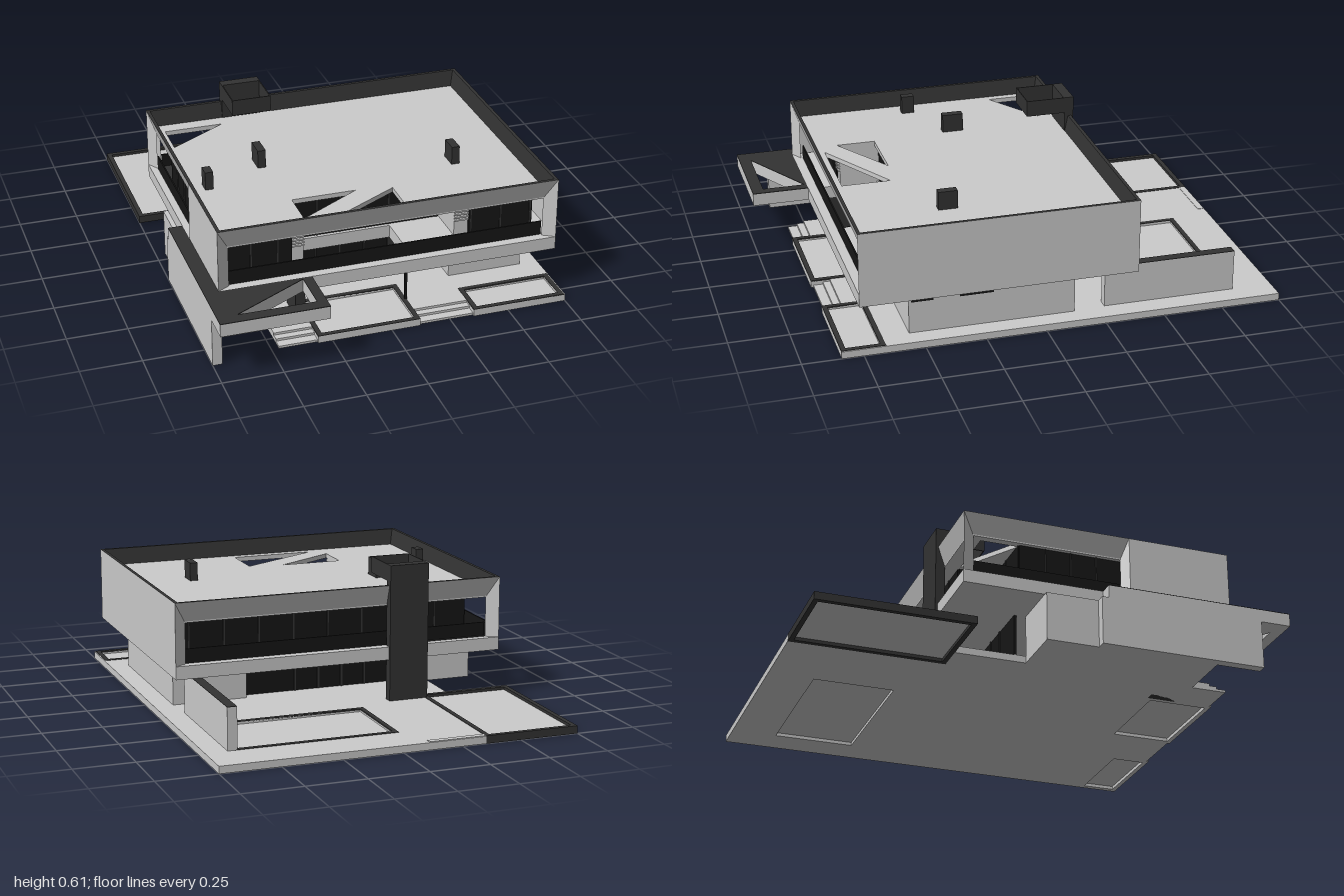
import * as THREE from 'three';

const mat = (color) => new THREE.MeshStandardMaterial({ color, side: THREE.DoubleSide });

export function createModel() {
  const house = new THREE.Group();
  house.name = 'house';
  const grey = mat(0xcccccc), dark = mat(0x333333), black = mat(0x161616);

  const add = (name, geometry, material) => {
    const mesh = new THREE.Mesh(geometry, material);
    mesh.name = name;
    house.add(mesh);
    return mesh;
  };
  // Box given by its limits on each axis
  const box = (name, x0, x1, y0, y1, z0, z1, material = grey) => {
    const g = new THREE.BoxGeometry(x1 - x0, y1 - y0, z1 - z0);
    g.translate((x0 + x1) / 2, (y0 + y1) / 2, (z0 + z1) / 2);
    return add(name, g, material);
  };
  const rect = (x0, x1, z0, z1) => [[x0, z0], [x1, z0], [x1, z1], [x0, z1]];
  // Horizontal plate from a plan outline [x, z] with holes
  const plate = (name, outline, holes, y0, y1, material = grey) => {
    const toV = (pts) => pts.map(([x, z]) => new THREE.Vector2(x, -z));
    const shape = new THREE.Shape(toV(outline));
    holes.forEach((h) => shape.holes.push(new THREE.Path(toV(h))));
    const g = new THREE.ExtrudeGeometry(shape, { depth: y1 - y0, bevelEnabled: false });
    g.rotateX(-Math.PI / 2);
    g.translate(0, y0, 0);
    return add(name, g, material);
  };
  // Flat panel through four corners
  const quad = (name, a, b, c, d, material = grey) => {
    const g = new THREE.BufferGeometry();
    g.setAttribute('position', new THREE.Float32BufferAttribute([a, b, c, a, c, d].flat(), 3));
    g.computeVertexNormals();
    return add(name, g, material);
  };

  // Ground slab with recessed beds and entrance steps
  const beds = [
    { name: 'terraceBed', r: [-0.05, 0.63, -0.83, -0.45] },
    { name: 'frontBed', r: [-0.31, 0.12, 0.55, 0.84] },
    { name: 'cornerBed', r: [0.35, 0.745, 0.66, 0.84] },
    { name: 'pool', r: [-0.75, -0.35, -1, -0.35] },
  ];
  plate('groundSlab', [[-0.35, -1], [0.75, -1], [0.75, 0.84], [0.35, 0.84], [0.35, 0.76], [0.12, 0.76],
    [0.12, 0.84], [-0.31, 0.84], [-0.31, 0.76], [-0.47, 0.76], [-0.47, -0.35], [-0.35, -0.35]],
  [rect(-0.03, 0.61, -0.81, -0.47), rect(-0.29, 0.10, 0.57, 0.82), rect(0.37, 0.725, 0.68, 0.82)], 0, 0.03);
  for (const { name, r: [x0, x1, z0, z1] } of beds) {
    const t = 0.02;
    plate(name + 'Rim', rect(x0, x1, z0, z1), [rect(x0 + t, x1 - t, z0 + t, z1 - t)],
      name === 'pool' ? 0 : 0.026, 0.032, dark);
    box(name + 'Floor', x0 + t, x1 - t, 0.014, 0.02, z0 + t, z1 - t);
  }
  for (const [x0, x1] of [[-0.47, -0.31], [0.12, 0.35]]) {
    box('upperStep', x0, x1, 0, 0.02, 0.76, 0.79);
    box('lowerStep', x0, x1, 0, 0.01, 0.79, 0.83);
  }
  box('backStep', -0.35, -0.11, 0.03, 0.032, -0.995, -0.97);

  // Free-standing walls
  box('terraceWall', 0.62, 0.66, 0.03, 0.203, -0.83, -0.27);
  box('terraceWallCap', 0.62, 0.66, 0.203, 0.205, -0.83, -0.27, dark);
  box('canopyWall', -0.75, -0.71, 0, 0.205, 0.17, 0.87);

  // Ground floor
  box('leftBlock', -0.71, -0.47, 0, 0.205, -0.05, 0.68);
  box('rightBlock', 0.35, 0.67, 0.03, 0.205, -0.14, 0.55);
  box('leftHighWindow', -0.705, -0.48, 0.167, 0.203, 0.675, 0.684, black);
  box('rightHighWindow', 0.385, 0.66, 0.167, 0.203, 0.545, 0.554, black);
  for (const [z0, z1] of [[0.45, 0.54], [0.2, 0.34]]) {
    box('sideHighWindow', 0.665, 0.674, 0.167, 0.203, z0, z1, black);
  }
  box('entranceWall', -0.47, -0.3, 0.03, 0.205, 0.42, 0.45, dark);
  box('sideEntranceWall', 0.12, 0.35, 0.03, 0.205, 0.42, 0.45, dark);
  box('loungeGlass', -0.3, 0.12, 0.03, 0.205, 0.435, 0.445, black);
  box('backGlass', -0.47, 0.35, 0.03, 0.205, -0.1, -0.09, black);
  for (const x of [-0.38, 0.27]) {
    box('doorHandle', x - 0.004, x + 0.004, 0.06, 0.15, 0.45, 0.46, black);
    box('doorTransom', x - 0.03, x + 0.04, 0.167, 0.203, 0.45, 0.455, black);
  }
  for (const x of [-0.3, -0.195, -0.09, 0.015, 0.12]) {
    box('loungeMullion', x - 0.004, x + 0.004, 0.03, 0.205, 0.44, 0.45, dark);
    box('backMullion', x - 0.004, x + 0.004, 0.03, 0.205, -0.105, -0.1, dark);
  }
  box('entrancePillar', -0.35, -0.31, 0, 0.205, 0.55, 0.67, dark);
  box('steelPost', 0.112, 0.122, 0.03, 0.26, 0.665, 0.675, black);

  // Upper floor plate and front canopy
  const X0 = -0.69, X1 = 0.73, Z0 = -0.39, Z1 = 0.76;
  plate('upperFloor', rect(X0, X1, Z0, Z1), [rect(-0.3, 0.12, 0.46, 0.72)], 0.205, 0.26);
  box('cornerBalconyFloor', -0.66, -0.36, 0.26, 0.263, -0.36, -0.14, dark);
  const canopy = [[-0.75, 0.2], [X0, 0.2], [X0, Z1], [-0.31, Z1], [-0.31, 1], [-0.75, 1]];
  const canopyHole = [[-0.67, 0.95], [-0.35, 0.95], [-0.35, 0.77]];
  plate('canopy', canopy, [canopyHole], 0.205, 0.258);
  plate('canopyTop', canopy, [canopyHole], 0.258, 0.261, dark);

  // Outer walls of the upper floor
  const top = 0.52, sill = 0.26, head = 0.43;
  quad('rightWall', [X1, sill, Z1], [X1, sill, Z0], [X1, top, Z0], [X1, top, Z1]);
  quad('leftWall', [X0, sill, 0.32], [X0, sill, Z1], [X0, top, Z1], [X0, top, 0.32]);

  // Splayed surrounds of the front, back and left openings
  const a = X0 + 0.05, b = X1 - 0.05;
  for (const [z, zi, name] of [[Z1, Z1 - 0.03, 'front'], [Z0, Z0 + 0.03, 'back']]) {
    quad(name + 'Fascia', [X0, top, z], [a, head, zi], [b, head, zi], [X1, top, z]);
    quad(name + 'LeftJamb', [X0, top, z], [X0, sill, z], [a, sill, zi], [a, head, zi]);
    quad(name + 'RightJamb', [X1, top, z], [b, head, zi], [b, sill, zi], [X1, sill, z]);
  }
  const xi = X0 + 0.03;
  quad('leftFascia', [X0, top, Z0], [X0, top, 0.32], [xi, head, 0.29], [xi, head, Z0 + 0.05]);
  quad('leftBackJamb', [X0, top, Z0], [xi, head, Z0 + 0.05], [xi, sill, Z0 + 0.05], [X0, sill, Z0]);
  quad('leftFrontJamb', [X0, top, 0.32], [X0, sill, 0.32], [xi, sill, 0.29], [xi, head, 0.29]);

  // Roof with cut-outs and dark parapet
  plate('roof', rect(X0 + 0.028, X1 - 0.028, Z0 + 0.028, Z1 - 0.028), [
    [[-0.63, -0.3], [-0.38, -0.3], [-0.63, -0.14]],
    [[-0.3, 0.465], [-0.03, 0.465], [-0.3, 0.63]],
    [[0.12, 0.49], [0.12, 0.695], [-0.24, 0.695]],
  ], 0.43, 0.45);
  const ring = (i, y) => rect(X0 + i, X1 - i, Z0 + i, Z1 - i).map(([x, z]) => [x, y, z]);
  const [outer, rim, foot] = [ring(0, top), ring(0.014, top), ring(0.028, 0.45)];
  for (let i = 0; i < 4; i++) {
    const j = (i + 1) % 4;
    quad('parapetTop', outer[i], rim[i], rim[j], outer[j], dark);
    quad('parapetInside', rim[i], foot[i], foot[j], rim[j], dark);
  }
  for (const [x, z, d] of [[-0.59, 0.25, 0.055], [-0.333, 0.11, 0.09], [0.44, 0.33, 0.08]]) {
    box('roofVent', x - 0.017, x + 0.017, 0.45, 0.528, z - d / 2, z + d / 2, dark);
  }

  // Upper windows and mullions
  const glazing = (name, x0, x1, z, xs) => {
    box(name, x0, x1, sill, head, z - 0.005, z + 0.005, black);
    for (const x of xs) box(name + 'Mullion', x - 0.003, x + 0.003, sill, head, z - 0.009, z + 0.009, dark);
  };
  glazing('frontLeftWindow', -0.64, -0.35, 0.62, [-0.63, -0.52, -0.41]);
  glazing('frontRightWindow', 0.4, 0.68, 0.62, [0.41, 0.54, 0.67]);
  glazing('frontCentreWindow', -0.3, 0.34, 0.44, [-0.3, -0.19, -0.09, 0.02, 0.12, 0.23, 0.33]);
  glazing('backWindow', -0.36, 0.7, -0.3, [-0.25, -0.1, 0.05, 0.2, 0.35, 0.5, 0.65]);
  glazing('backCornerWindow', -0.64, -0.36, -0.14, [-0.5]);
  box('cornerReturnWindow', -0.365, -0.355, sill, head, -0.3, -0.14, black);
  box('leftWindow', -0.645, -0.635, sill, head, -0.14, 0.3, black);
  for (const z of [-0.03, 0.08, 0.19]) box('leftMullion', -0.65, -0.63, sill, head, z - 0.003, z + 0.003, dark);

  // Side returns and louvres beside the balcony
  for (const [x0, x1] of [[-0.35, -0.3], [0.34, 0.4]]) {
    box('balconyReturn', x0, x1, sill, head, 0.44, 0.62);
    for (let i = 0; i < 8; i++) {
      const y = 0.327 + i * 0.013;
      box('louvre', x0, x1, y, y + 0.007, 0.62, 0.63);
    }
  }

  // Glass balustrades
  box('frontBalustrade', a, b, sill, 0.32, 0.715, 0.721, black);
  box('backBalustrade', a, b, sill, 0.32, -0.352, -0.346, black);
  box('leftBalustrade', xi, xi + 0.006, sill, 0.32, -0.34, 0.29, black);

  // Chimney: tall rear slab and an open flue hood
  box('chimneySlab', -0.36, -0.19, 0.03, 0.605, -0.4, -0.36, dark);
  plate('chimneyHood', rect(-0.36, -0.19, -0.36, -0.19), [rect(-0.356, -0.194, -0.356, -0.194)], 0.535, 0.605, dark);

  return house;
}
